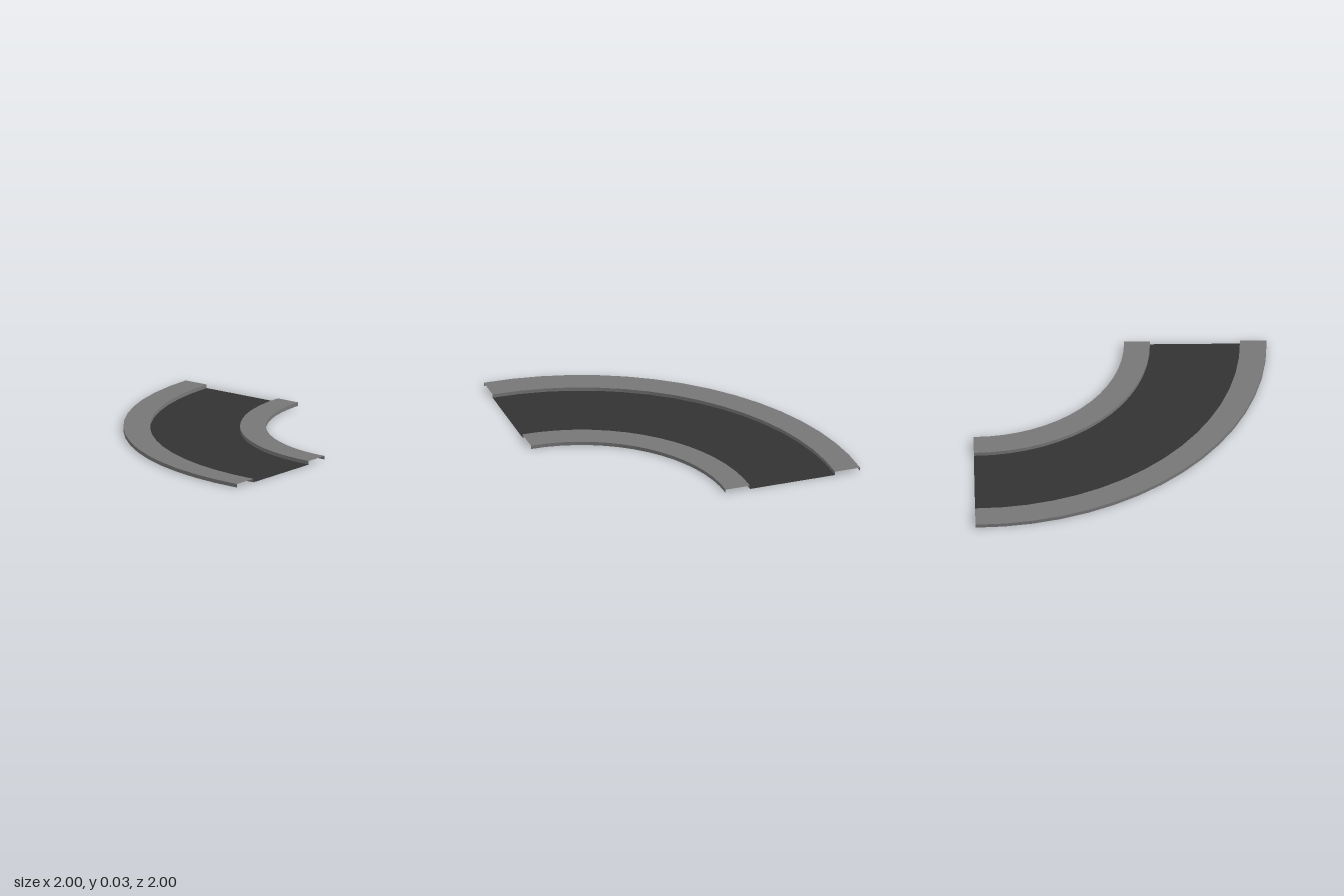
import * as THREE from 'three';

const HEIGHT = 0.025; // kerb height
const SEGMENTS = 16; // facets in the quarter turn

// Sweeps a radius/height profile (listed from outside to inside) through the bend
function sweep(name, profile, color) {
  const points = profile.map(([r, y]) => new THREE.Vector2(r, y));
  const geometry = new THREE.LatheGeometry(points, SEGMENTS, Math.PI, Math.PI / 2);
  const material = new THREE.MeshStandardMaterial({ color, flatShading: true, side: THREE.DoubleSide });
  const mesh = new THREE.Mesh(geometry, material);
  mesh.name = name;
  mesh.position.set(1, 0, 1); // centre of the bend
  return mesh;
}

// Raised pavement: outer wall, flat top and inner wall, open below and at the ends
function pavement(name, outer, inner) {
  return sweep(name, [[outer, 0], [outer, HEIGHT], [inner, HEIGHT], [inner, 0]], 0x777777);
}

export function createModel() {
  const group = new THREE.Group();
  group.name = 'roadCorner';
  group.add(
    sweep('roadSurface', [[1.82, 0], [1.21, 0]], 0x333333),
    pavement('outerPavement', 2, 1.82),
    pavement('innerPavement', 1.21, 1.035),
  );
  return group;
}
